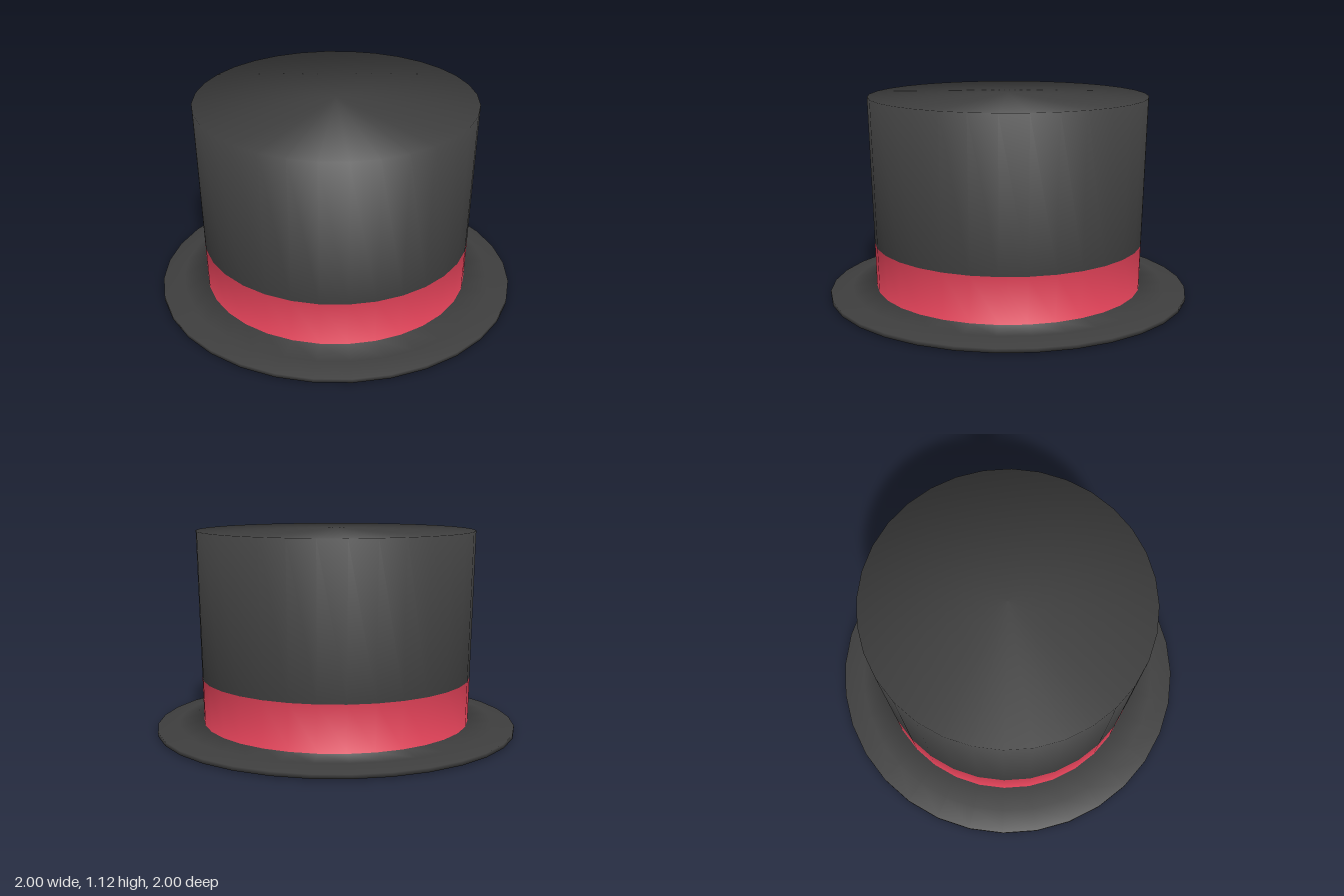
import * as THREE from 'three';

const SIDES = 32;

// [radius, height] from the hollow's ceiling, under and over the brim, up to the lid
const PROFILE = [
  [0, 0.3], [0.53, 0.27], [0.6, 0], [0.65, 0], [0.97, 0], [1, 0.006],
  [1, 0.028], [0.88, 0.045], [0.743, 0.05], [0.749, 0.3], [0.768, 1.11], [0, 1.122],
];

export function createModel() {
  const hat = new THREE.Group();
  hat.name = 'topHat';

  const felt = new THREE.MeshStandardMaterial({ color: 0x3e3e3e });
  felt.name = 'blackFelt';
  const ribbon = new THREE.MeshStandardMaterial({ color: 0xdc4056 });
  ribbon.name = 'redRibbon';

  // One revolved surface, so shading flows smoothly between the parts
  const points = PROFILE.map(([r, y]) => new THREE.Vector2(r, y));
  const surface = new THREE.LatheGeometry(points, SIDES);
  const rows = PROFILE.length - 1;

  // Cut out the rings between two profile points as a part of its own
  const addPart = (name, from, to, material) => {
    const geometry = surface.clone();
    geometry.setIndex(Array.from(surface.index.array).filter((_, k) => {
      const row = Math.floor(k / 6) % rows;
      return row >= from && row < to;
    }));
    const mesh = new THREE.Mesh(geometry, material);
    mesh.name = name;
    hat.add(mesh);
  };

  addPart('lining', 0, 2, felt);
  addPart('brim', 2, 8, felt);
  addPart('hatBand', 8, 9, ribbon);
  addPart('crown', 9, 11, felt);

  return hat;
}
